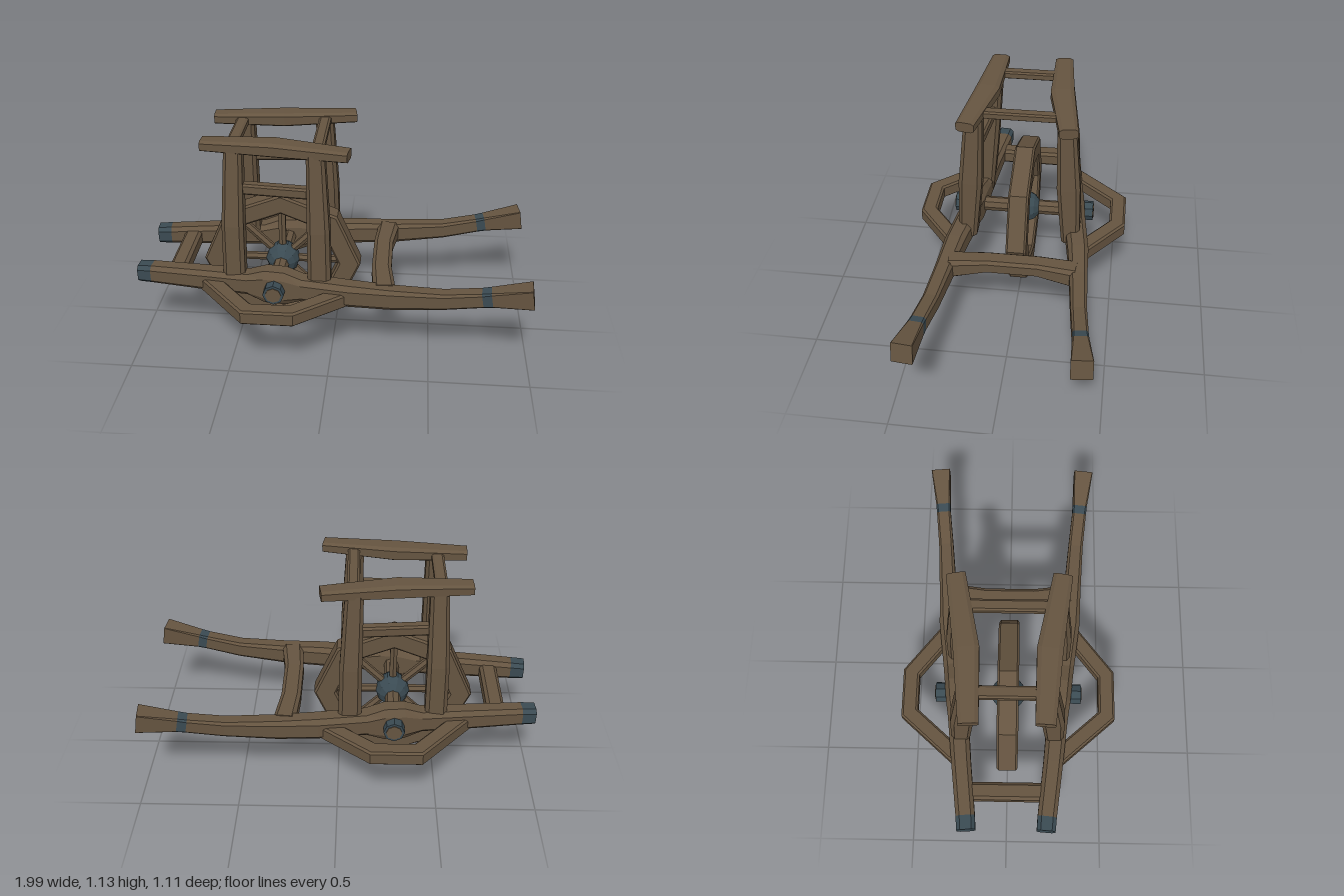
import * as THREE from 'three';

const wood = new THREE.MeshStandardMaterial({ color: 0x655440, flatShading: true });
wood.name = 'brown wood';
const iron = new THREE.MeshStandardMaterial({ color: 0x3a4a52, flatShading: true });
iron.name = 'blue grey iron';

// Hewn beam through stations [x, y, z, halfSide, halfUp, corner]; corner 1 is square, lower is chamfered.
// ironSegments lists the segments that are sheathed in iron.
function beam(name, stations, up, ironSegments = []) {
  const centres = stations.map(s => new THREE.Vector3(s[0], s[1], s[2]));
  const last = stations.length - 1;
  const rings = stations.map(([, , , hs, hu, c = 0.65], i) => {
    const before = centres[i].clone().sub(centres[Math.max(i - 1, 0)]).normalize();
    const after = centres[Math.min(i + 1, last)].clone().sub(centres[i]).normalize();
    const t = before.add(after).normalize();
    const s = up.clone().cross(t).normalize();
    const u = t.clone().cross(s);
    const mitre = 1 / Math.max(0.7, i > 0 && i < last ? Math.abs(after.dot(t)) : 1);
    return [[1, -c], [1, c], [c, 1], [-c, 1], [-1, c], [-1, -c], [-c, -1], [c, -1]].map(([a, b]) =>
      centres[i].clone().addScaledVector(s, a * hs * mitre).addScaledVector(u, b * hu));
  });
  const pos = [];
  const tri = (a, b, c) => pos.push(...a.toArray(), ...b.toArray(), ...c.toArray());
  const geo = new THREE.BufferGeometry();
  for (let i = 0; i < last; i++) {
    const start = pos.length / 3;
    const [a, b] = [rings[i], rings[i + 1]];
    for (let k = 0; k < 8; k++) {
      const n = (k + 1) % 8;
      tri(a[k], a[n], b[n]);
      tri(a[k], b[n], b[k]);
    }
    for (let k = 1; k < 7; k++) {
      if (i === 0) tri(a[0], a[k + 1], a[k]);
      if (i === last - 1) tri(b[0], b[k], b[k + 1]);
    }
    geo.addGroup(start, pos.length / 3 - start, ironSegments.includes(i) ? 1 : 0);
  }
  geo.setAttribute('position', new THREE.Float32BufferAttribute(pos, 3));
  geo.computeVertexNormals();
  const mesh = new THREE.Mesh(geo, [wood, iron]);
  mesh.name = name;
  return mesh;
}

const X = new THREE.Vector3(1, 0, 0);
const Y = new THREE.Vector3(0, 1, 0);
const WX = -0.28, WY = 0.386;

// Octagonal wheel with eight spokes and an iron hub
function makeWheel() {
  const wheel = new THREE.Group();
  wheel.name = 'wheel';
  wheel.position.set(WX, WY, 0);
  const octagon = (rx, ry) => Array.from({ length: 8 }, (_, i) => {
    const a = i * Math.PI / 4;
    return new THREE.Vector2(Math.cos(a) * rx, Math.sin(a) * ry);
  });
  const shape = new THREE.Shape(octagon(0.4, 0.375));
  shape.holes.push(new THREE.Path(octagon(0.305, 0.29)));
  const rimGeo = new THREE.ExtrudeGeometry(shape, {
    depth: 0.086, bevelEnabled: true, bevelThickness: 0.01, bevelSize: 0.01, bevelSegments: 1,
  });
  rimGeo.translate(0, 0, -0.043);
  const rim = new THREE.Mesh(rimGeo, wood);
  rim.name = 'rim';
  wheel.add(rim);
  for (let i = 0; i < 8; i++) {
    const geo = new THREE.CylinderGeometry(0.021, 0.021, 0.26, 6);
    geo.translate(0, 0.18, 0);
    const spoke = new THREE.Mesh(geo, wood);
    spoke.name = 'spoke';
    spoke.rotation.z = i * Math.PI / 4;
    wheel.add(spoke);
  }
  const hub = new THREE.Mesh(new THREE.SphereGeometry(0.09, 10, 7), iron);
  hub.name = 'hub';
  hub.rotation.x = Math.PI / 2;
  wheel.add(hub);

  // Axle with an iron collar at each end
  const rod = (name, r, length, z, mat) => {
    const m = new THREE.Mesh(new THREE.CylinderGeometry(r, r, length, 8), mat);
    m.name = name;
    m.rotation.x = Math.PI / 2;
    m.position.z = z;
    wheel.add(m);
  };
  rod('axle', 0.04, 0.764, 0, wood);
  for (const s of [-1, 1]) rod('axleCollar', 0.053, 0.08, s * 0.338, iron);
  return wheel;
}

// Everything that repeats on both sides of the wheel
function makeSide(s) {
  const side = new THREE.Group();
  side.name = s > 0 ? 'frontSide' : 'backSide';
  const add = (name, pts, up, bands) =>
    side.add(beam(name, pts.map(([x, y, z, ...r]) => [x, y, z * s, ...r]), up, bands));

  // Long shaft, thickened round the axle, with iron end and band
  add('shaft', [
    [-0.995, 0.385, 0.2, 0.047, 0.046, 0.6], [-0.925, 0.386, 0.205, 0.048, 0.049, 0.6],
    [-0.65, 0.386, 0.235, 0.05, 0.056, 0.6], [-0.42, 0.386, 0.257, 0.053, 0.058, 0.6],
    [-0.33, 0.384, 0.267, 0.056, 0.092, 0.6], [-0.23, 0.384, 0.277, 0.056, 0.092, 0.6],
    [-0.14, 0.386, 0.288, 0.056, 0.06, 0.6], [0.1, 0.384, 0.322, 0.053, 0.06, 0.6],
    [0.3, 0.383, 0.338, 0.045, 0.055, 0.65], [0.56, 0.398, 0.358, 0.039, 0.043, 0.7],
    [0.745, 0.43, 0.377, 0.038, 0.039, 0.75], [0.79, 0.439, 0.381, 0.039, 0.04, 0.8],
    [0.982, 0.47, 0.4, 0.051, 0.052, 0.95],
  ], Y, [0, 10]);

  // Outer guard curving round the axle end
  add('sideGuard', [
    [-0.64, 0.363, 0.235, 0.042, 0.038, 0.75], [-0.395, 0.363, 0.513, 0.042, 0.038, 0.75],
    [-0.175, 0.363, 0.513, 0.042, 0.038, 0.75], [0.07, 0.363, 0.32, 0.042, 0.038, 0.75],
  ], Y);

  // Posts leaning inwards, bulging at mid height
  add('post', [
    [-0.49, 0.37, 0.243, 0.046, 0.055], [-0.487, 0.7, 0.222, 0.056, 0.054],
    [-0.475, 1.09, 0.183, 0.045, 0.044],
  ], X);
  add('post', [
    [-0.058, 0.37, 0.273, 0.048, 0.058], [-0.062, 0.7, 0.253, 0.06, 0.055],
    [-0.076, 1.09, 0.23, 0.045, 0.044],
  ], X);
  add('postBrace', [[-0.48, 0.885, 0.195, 0.028, 0.028], [-0.07, 0.885, 0.232, 0.028, 0.028]], Y);

  // Top rail
  add('topRail', [
    [-0.632, 1.098, 0.171, 0.046, 0.026], [-0.28, 1.1, 0.19, 0.06, 0.035],
    [0.083, 1.098, 0.25, 0.046, 0.026],
  ], Y);
  return side;
}

export function createModel() {
  const cart = new THREE.Group();
  cart.name = 'cart';
  cart.add(makeWheel(), makeSide(1), makeSide(-1));

  // Bars joining the two sides
  cart.add(beam('topCrossbar', [[-0.485, 1.094, -0.18, 0.03, 0.02], [-0.485, 1.094, 0.18, 0.03, 0.02]], Y));
  cart.add(beam('topCrossbar', [[-0.07, 1.094, -0.22, 0.03, 0.02], [-0.07, 1.094, 0.22, 0.03, 0.02]], Y));
  cart.add(beam('endCrossbar', [[-0.8, 0.378, -0.21, 0.045, 0.042], [-0.8, 0.378, 0.21, 0.045, 0.042]], Y));
  cart.add(beam('handleCrossbar', [
    [0.265, 0.39, -0.32, 0.056, 0.054], [0.245, 0.405, -0.13, 0.05, 0.037],
    [0.245, 0.405, 0.13, 0.05, 0.037], [0.265, 0.39, 0.32, 0.056, 0.054],
  ], Y));
  return cart;
}
